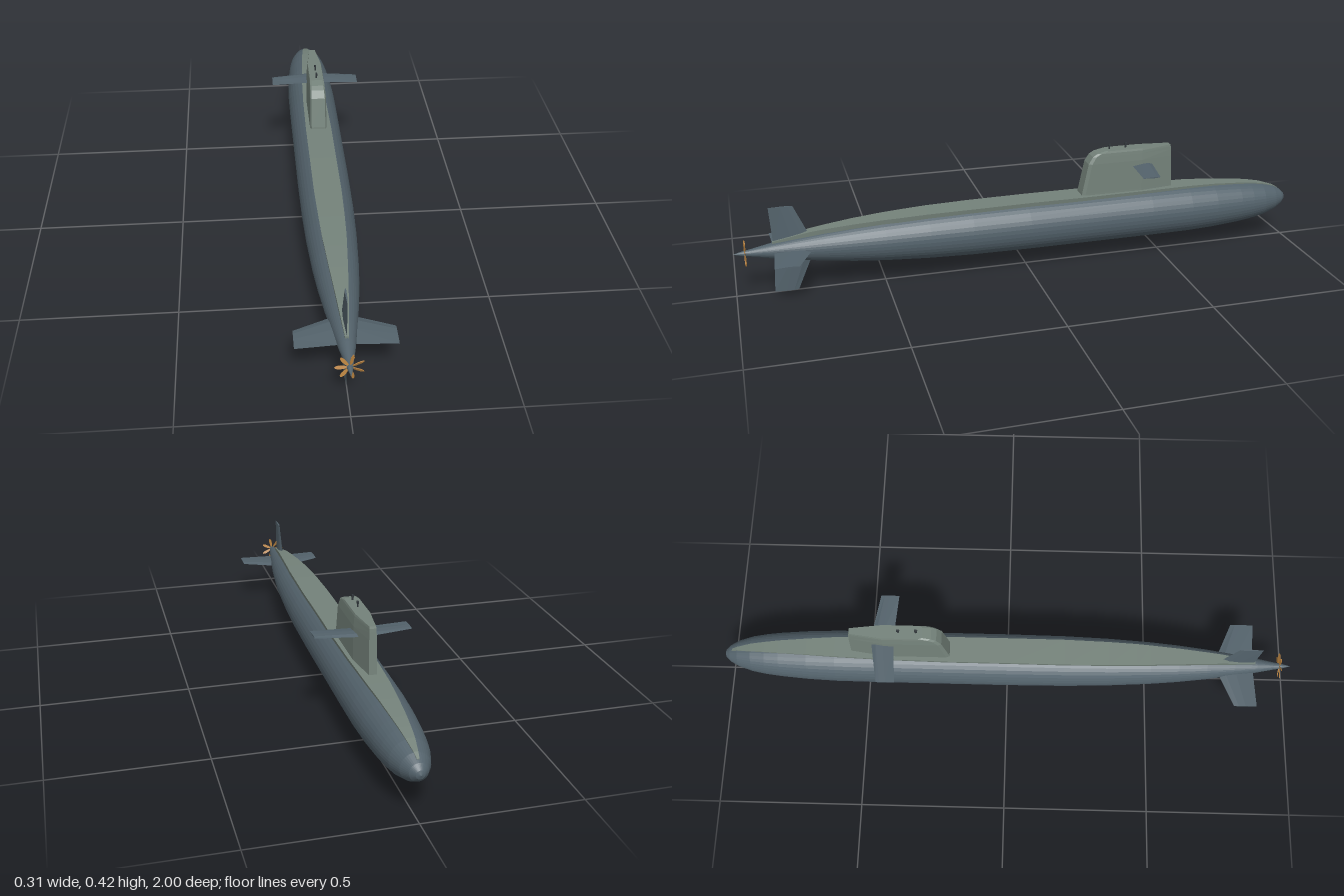
import * as THREE from 'three';

const AXIS = 0.155; // height of the hull centreline

const flat = (name, color) => {
  const m = new THREE.MeshStandardMaterial({ color, flatShading: true });
  m.name = name;
  return m;
};

// Skin a list of convex rings (arrays of [x, y, z]) and close both ends
function loft(rings) {
  const tris = [];
  const n = rings[0].length;
  for (let i = 0; i < rings.length - 1; i++) {
    const a = rings[i], b = rings[i + 1];
    for (let j = 0; j < n; j++) {
      const k = (j + 1) % n;
      tris.push([a[j], a[k], b[k]], [a[j], b[k], b[j]]);
    }
  }
  const first = rings[0], last = rings[rings.length - 1];
  for (let j = 1; j < n - 1; j++) {
    tris.push([first[0], first[j + 1], first[j]], [last[0], last[j], last[j + 1]]);
  }
  // Turn the faces outwards if the enclosed volume comes out negative
  const c = new THREE.Vector3(...first[0]);
  let volume = 0;
  for (const t of tris) {
    const [p, q, r] = t.map((v) => new THREE.Vector3(...v).sub(c));
    volume += p.dot(q.cross(r));
  }
  if (volume < 0) tris.forEach((t) => t.reverse());
  const g = new THREE.BufferGeometry();
  g.setAttribute('position', new THREE.Float32BufferAttribute(tris.flat(2), 3));
  g.computeVertexNormals();
  return g;
}

// Linear lookup in a table of [z, value] rows
function lookup(table, z) {
  for (let i = 1; i < table.length; i++) {
    const [z0, v0] = table[i - 1], [z1, v1] = table[i];
    if (z <= z1) return v0 + (v1 - v0) * Math.max(0, (z - z0) / (z1 - z0));
  }
  return table[table.length - 1][1];
}

// Tapered fin along +x with a lens-shaped section: x, leading z, trailing z, thickness
function finGeometry(root, tip) {
  const ring = ([x, le, te, t]) => {
    const at = (f) => le + (te - le) * f;
    return [
      [x, 0, le], [x, t / 2, at(0.2)], [x, t / 2, at(0.5)],
      [x, 0, te], [x, -t / 2, at(0.5)], [x, -t / 2, at(0.2)],
    ];
  };
  return loft([ring(root), ring(tip)]);
}

export function createModel() {
  const model = new THREE.Group();
  model.name = 'submarine';
  const hullGrey = flat('hull blue grey', 0x53626b);
  const deckGrey = flat('deck green grey', 0x74827a);
  const bronze = flat('propeller bronze', 0xb9823f);
  const dark = flat('mast dark grey', 0x30363a);

  const add = (name, geometry, material, parent = model) => {
    const mesh = new THREE.Mesh(geometry, material);
    mesh.name = name;
    parent.add(mesh);
    return mesh;
  };

  // Hull: body of revolution, bow at -z and pointed tail at +z
  const profile = [
    [-1, 0], [-0.995, 0.014], [-0.98, 0.029], [-0.95, 0.046], [-0.9, 0.062], [-0.85, 0.071],
    [-0.8, 0.077], [-0.7, 0.085], [-0.6, 0.089], [-0.45, 0.09], [0, 0.09], [0.2, 0.088],
    [0.35, 0.083], [0.5, 0.074], [0.6, 0.065], [0.7, 0.053], [0.8, 0.038], [0.88, 0.025],
    [0.94, 0.013], [0.97, 0.008], [1, 0],
  ];
  const hull = add('hull', new THREE.LatheGeometry(
    profile.map(([z, r]) => new THREE.Vector2(r, z)), 40), hullGrey);
  hull.rotation.x = Math.PI / 2;
  hull.position.y = AXIS;

  // Deck casing: flat strip that follows the hull crown and narrows at both ends
  const deckWidth = [
    [-0.97, 0.004], [-0.9, 0.014], [-0.8, 0.023], [-0.6, 0.036], [-0.4, 0.043], [-0.2, 0.046],
    [0.25, 0.046], [0.45, 0.039], [0.6, 0.029], [0.75, 0.017], [0.87, 0.006],
  ];
  const deckRise = [[-0.97, 0.002], [-0.6, 0.002], [0.2, 0.003], [0.5, 0.008], [0.75, 0.013], [0.87, 0.006]];
  const stations = [-0.97, -0.95, -0.9, -0.85, -0.8, -0.7, -0.6, -0.4, -0.2, 0, 0.2,
    0.35, 0.45, 0.5, 0.6, 0.7, 0.75, 0.8, 0.87];
  add('deckCasing', loft(stations.map((z) => {
    const w = lookup(deckWidth, z);
    const r = lookup(profile, z);
    const top = AXIS + r + lookup(deckRise, z);
    const low = AXIS + r * 0.7;
    return [[-w, top, z], [w, top, z], [w * 0.9, low, z], [-w * 0.9, low, z]];
  })), deckGrey);

  // Sail: stacked sections of y, half width, aft z, forward z
  const sailSections = [
    [0.22, 0.031, -0.196, -0.542], [0.255, 0.03, -0.2, -0.54], [0.36, 0.029, -0.222, -0.535],
    [0.385, 0.027, -0.238, -0.533], [0.395, 0.026, -0.255, -0.532], [0.402, 0.024, -0.285, -0.53],
  ];
  add('sail', loft(sailSections.map(([y, w, aft, fore]) => [
    [-w + 0.005, y, aft], [w - 0.005, y, aft], [w, y, aft - 0.012], [w, y, -0.42],
    [w * 0.42, y, fore], [-w * 0.42, y, fore], [-w, y, -0.42], [-w, y, aft - 0.012],
  ])), deckGrey);

  // Masts on the sail roof
  for (const z of [-0.305, -0.365]) {
    const mast = new THREE.Group();
    mast.name = 'mast';
    mast.position.set(0, 0.4, z);
    add('mastTube', new THREE.CylinderGeometry(0.003, 0.003, 0.016, 8), dark, mast).position.y = 0.006;
    add('mastHead', new THREE.BoxGeometry(0.006, 0.008, 0.01), dark, mast).position.y = 0.016;
    model.add(mast);
  }

  // Sail planes, one each side
  const sailPlane = finGeometry([0.02, -0.46, -0.385, 0.012], [0.157, -0.437, -0.375, 0.004]);
  for (const angle of [0, Math.PI]) {
    const plane = add('sailPlane', sailPlane, hullGrey);
    plane.position.y = 0.34;
    plane.rotation.z = angle;
  }

  // Cross-shaped stern fins
  const sternFin = finGeometry([0.015, 0.735, 0.866, 0.014], [0.152, 0.795, 0.874, 0.005]);
  for (let i = 0; i < 4; i++) {
    const fin = add(i % 2 ? 'rudder' : 'sternPlane', sternFin, hullGrey);
    fin.position.y = AXIS;
    fin.rotation.z = (i * Math.PI) / 2;
  }

  // Seven-bladed propeller around the tail cone
  const propeller = new THREE.Group();
  propeller.name = 'propeller';
  propeller.position.set(0, AXIS, 0.96);
  const outline = new THREE.Shape([
    [0.004, -0.002], [0.02, -0.005], [0.034, -0.0055], [0.042, -0.003], [0.045, 0],
    [0.042, 0.003], [0.034, 0.0055], [0.02, 0.005], [0.004, 0.002],
  ].map(([x, y]) => new THREE.Vector2(x, y)));
  const bladeGeometry = new THREE.ExtrudeGeometry(outline, { depth: 0.002, bevelEnabled: false });
  bladeGeometry.translate(0, 0, -0.001).rotateX(0.4);
  for (let i = 0; i < 7; i++) {
    add('propellerBlade', bladeGeometry, bronze, propeller).rotation.z = Math.PI + (i * Math.PI * 2) / 7;
  }
  model.add(propeller);

  return model;
}
